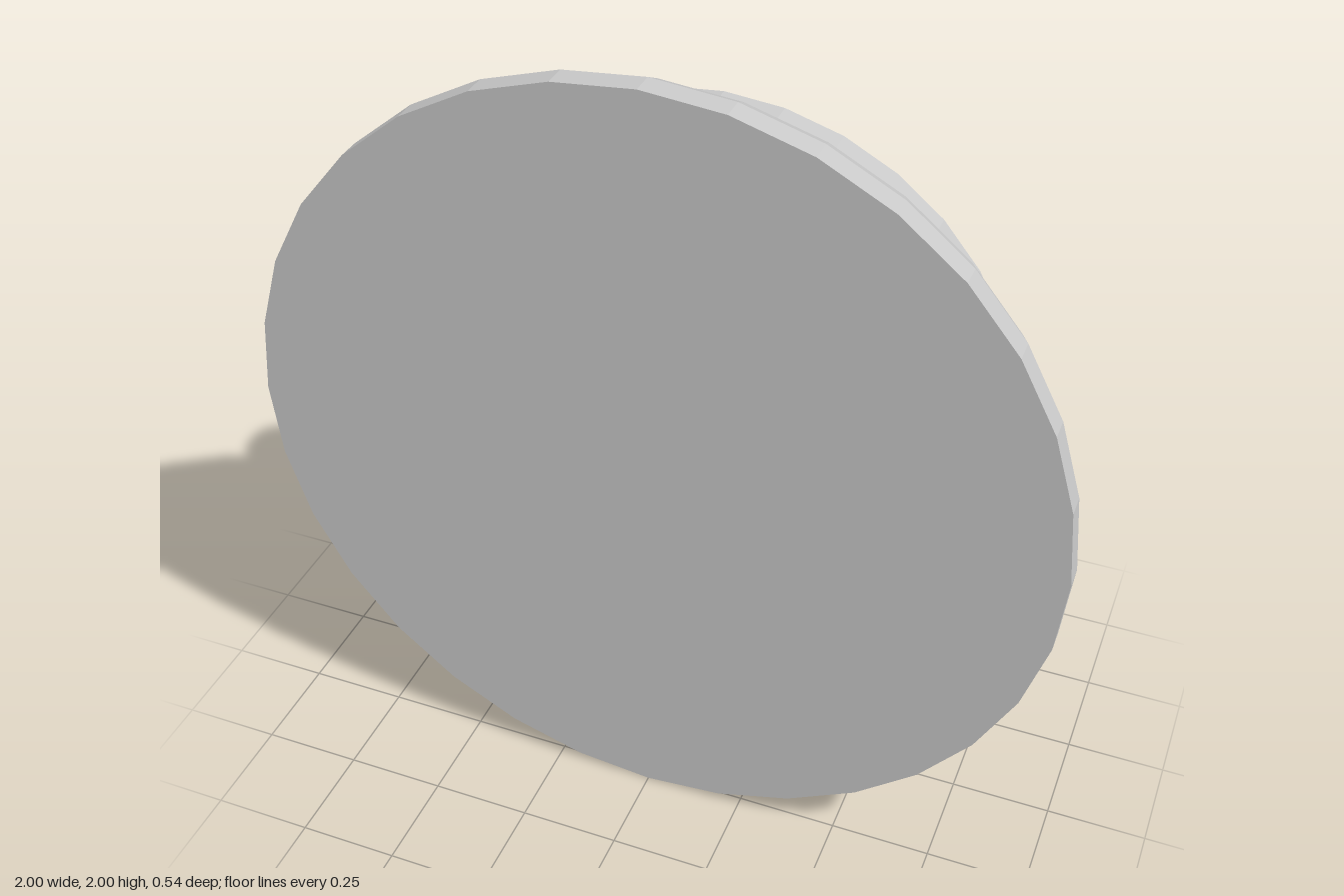
import * as THREE from 'three';

const SEGMENTS = 32;

export function createModel() {
  const model = new THREE.Group();
  model.name = 'roundKnob';
  const grey = new THREE.MeshStandardMaterial({ color: 0xc8c8c8, flatShading: true });
  grey.name = 'plain grey';

  // Each part is a [radius, z] profile, back to front, turned about the z axis
  function turned(name, profile) {
    const points = profile.map(([r, z]) => new THREE.Vector2(r, z));
    const geometry = new THREE.LatheGeometry(points, SEGMENTS);
    geometry.rotateX(Math.PI / 2);
    const mesh = new THREE.Mesh(geometry, grey);
    mesh.name = name;
    mesh.position.y = 1;
    model.add(mesh);
  }

  // Closed back disc with a bevelled lip
  turned('backLip', [[0, -0.272], [0.73, -0.272], [0.755, -0.233], [0.755, -0.173], [0.73, -0.146]]);
  // Narrow groove between lip and flare
  turned('neck', [[0.73, -0.146], [0.73, -0.103]]);
  // Curved flare widening to the front
  turned('flare', [[0.73, -0.103], [0.825, -0.02], [0.893, 0.053], [0.972, 0.16], [1, 0.213]]);
  // Straight rim and flat front face
  turned('frontRim', [[1, 0.213], [1, 0.272]]);
  turned('frontFace', [[1, 0.272], [0, 0.272]]);

  return model;
}
